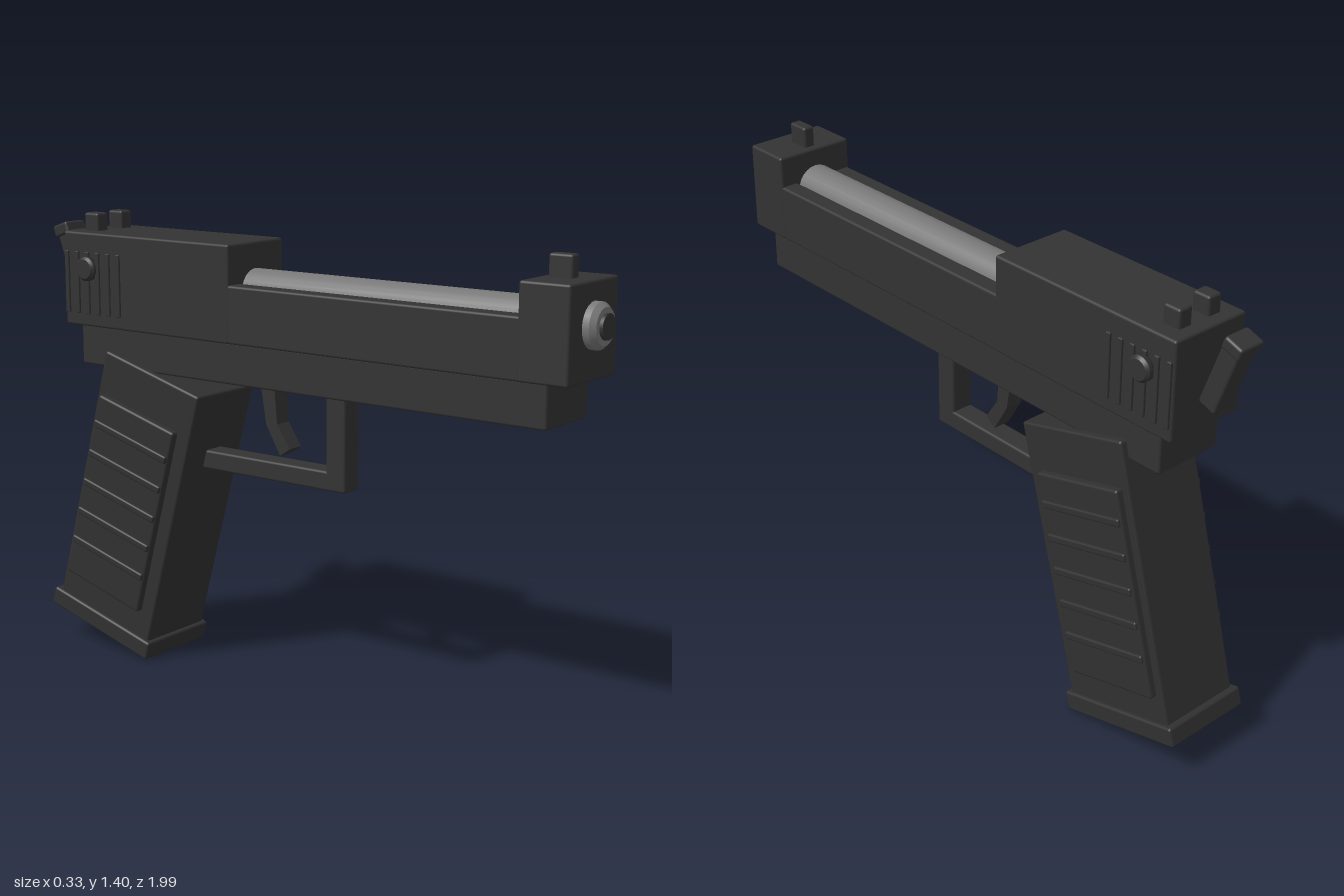
import * as THREE from 'three';
import { RoundedBoxGeometry } from 'three/addons/geometries/RoundedBoxGeometry.js';

export function createModel() {
  const mat = (name, color) => {
    const m = new THREE.MeshStandardMaterial({ color });
    m.name = name;
    return m;
  };
  const black = mat('blackMetal', 0x333333);
  const gripBlack = mat('gripBlack', 0x303030);
  const steel = mat('steel', 0x777777);

  const root = new THREE.Group();
  root.name = 'pistol';

  const add = (name, geometry, material, parent = root) => {
    const mesh = new THREE.Mesh(geometry, material);
    mesh.name = name;
    parent.add(mesh);
    return mesh;
  };
  // Box from its extents, with softly broken edges
  const box = (name, [x0, x1], [y0, y1], [z0, z1], material = black, parent = root) => {
    const w = x1 - x0, h = y1 - y0, d = z1 - z0;
    const r = Math.min(0.008, Math.min(w, h, d) * 0.25);
    const mesh = add(name, new RoundedBoxGeometry(w, h, d, 2, r), material, parent);
    mesh.position.set((x0 + x1) / 2, (y0 + y1) / 2, (z0 + z1) / 2);
    return mesh;
  };

  // Frame and slide
  box('frame', [-0.112, 0.112], [0.935, 1.065], [-0.805, 0.885]);
  box('slideRear', [-0.13, 0.13], [1.06, 1.355], [-0.855, -0.185]);
  box('slideFront', [-0.13, 0.13], [1.06, 1.33], [0.8, 0.955]);
  for (const s of [-1, 1]) {
    const span = [0.068 * s, 0.128 * s].sort((a, b) => a - b);
    box('slideWall', span, [1.06, 1.235], [-0.2, 0.81]);
  }

  // Barrel with chamfered muzzle and dark bore
  const barrel = add('barrel', new THREE.LatheGeometry([
    [0, -0.2], [0.065, -0.2], [0.065, 0.975], [0.065, 0.975],
    [0.052, 0.99], [0.052, 0.99], [0, 0.99],
  ].map(([r, z]) => new THREE.Vector2(r, z)), 24), steel);
  barrel.rotation.x = Math.PI / 2;
  barrel.position.y = 1.21;
  const bore = add('bore', new THREE.CylinderGeometry(0.036, 0.036, 0.03, 24), black);
  bore.rotation.x = Math.PI / 2;
  bore.position.set(0, 1.21, 0.985);

  // Sights
  box('frontSight', [-0.019, 0.019], [1.32, 1.393], [0.823, 0.897]);
  box('rearSightLeft', [0.03, 0.078], [1.345, 1.41], [-0.815, -0.757]);
  box('rearSightRight', [-0.078, -0.03], [1.345, 1.41], [-0.815, -0.757]);

  // Slide serrations and safety knobs on both sides
  for (const s of [-1, 1]) {
    for (let i = 0; i < 6; i++) {
      const z = -0.625 - i * 0.043;
      box('serration', [s * 0.131 - 0.006, s * 0.131 + 0.006], [1.1, 1.295], [z - 0.008, z + 0.008]);
    }
    const knob = add('safetyKnob', new THREE.LatheGeometry([
      [0, 0], [0.038, 0], [0.038, 0.024], [0.038, 0.024], [0.03, 0.032], [0.03, 0.032], [0, 0.032],
    ].map(([r, h]) => new THREE.Vector2(r, h)), 20), black);
    knob.rotation.z = -s * Math.PI / 2;
    knob.position.set(s * 0.122, 1.243, -0.75);
  }

  // Hammer
  const hammer = new THREE.Group();
  hammer.name = 'hammer';
  hammer.position.set(0, 1.245, -0.918);
  hammer.rotation.x = -0.34;
  root.add(hammer);
  box('hammerBody', [-0.035, 0.035], [-0.11, 0.1], [-0.03, 0.03], black, hammer);
  box('hammerSpur', [-0.043, 0.043], [0.088, 0.126], [-0.036, 0.028], black, hammer);

  // Trigger guard
  box('guardPost', [-0.037, 0.037], [0.64, 0.945], [0.105, 0.175]);
  box('guardBar', [-0.037, 0.037], [0.64, 0.7], [-0.4, 0.175]);

  // Trigger: bent side outline, extruded across x
  const outline = new THREE.Shape([
    [-0.095, 0.95], [-0.148, 0.95], [-0.125, 0.81], [-0.072, 0.72], [-0.035, 0.745], [-0.083, 0.815],
  ].map(([z, y]) => new THREE.Vector2(-z, y)));
  const trigger = add('trigger', new THREE.ExtrudeGeometry(outline, { depth: 0.056, bevelEnabled: false }), black);
  trigger.rotation.y = Math.PI / 2;
  trigger.position.x = -0.028;

  // Raked grip with ribbed side panels and a base plate
  const grip = new THREE.Group();
  grip.name = 'grip';
  grip.position.set(0, 0.529, -0.607);
  grip.rotation.x = 0.27;
  root.add(grip);
  box('gripBody', [-0.133, 0.133], [-0.435, 0.425], [-0.197, 0.197], gripBlack, grip);
  box('basePlate', [-0.145, 0.145], [-0.485, -0.425], [-0.218, 0.212], gripBlack, grip);
  box('gripPanels', [-0.155, 0.155], [-0.339, 0.288], [-0.173, 0.147], gripBlack, grip);
  for (let i = 0; i < 5; i++) {
    const y = 0.195 - i * 0.1025;
    box('gripRib', [-0.163, 0.163], [y - 0.012, y + 0.012], [-0.168, 0.142], gripBlack, grip);
  }

  return root;
}
